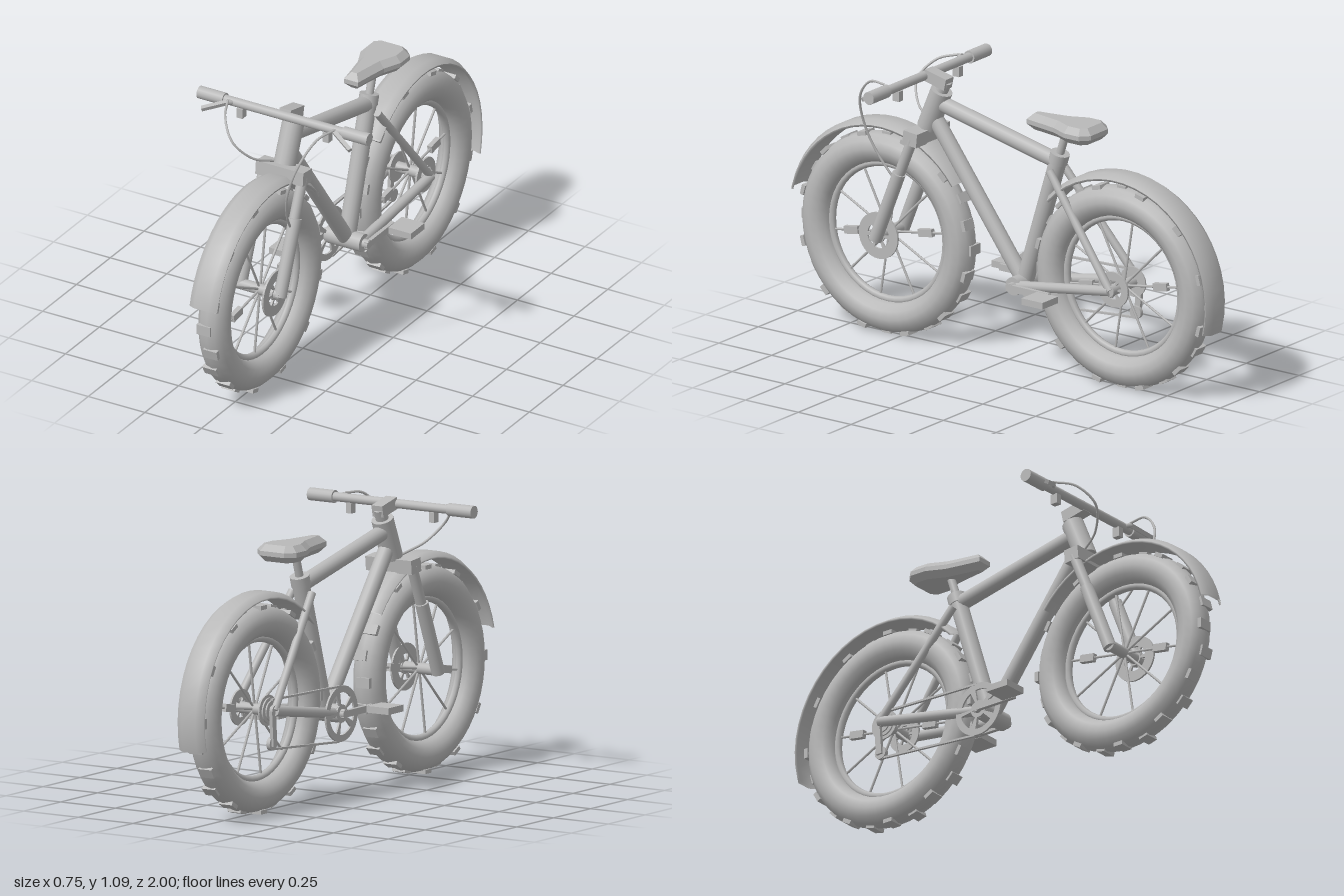
import * as THREE from 'three';

const grey = new THREE.MeshStandardMaterial({ color: 0xb8b8b8 });
grey.name = 'plain grey';
const greySheet = new THREE.MeshStandardMaterial({ color: 0xb8b8b8, side: THREE.DoubleSide });
greySheet.name = 'plain grey sheet';

const V = (x, y, z) => new THREE.Vector3(x, y, z);
const UP = V(0, 1, 0);

function add(parent, name, geometry, material = grey) {
  const mesh = new THREE.Mesh(geometry, material);
  mesh.name = name;
  parent.add(mesh);
  return mesh;
}

// Round tube from a to b
function rod(parent, name, a, b, r, sides = 16) {
  const dir = b.clone().sub(a);
  const mesh = add(parent, name, new THREE.CylinderGeometry(r, r, dir.length(), sides));
  mesh.position.copy(a).lerp(b, 0.5);
  mesh.quaternion.setFromUnitVectors(UP, dir.normalize());
  return mesh;
}

// Rectangular bar from a to b, w wide and d deep
function bar(parent, name, a, b, w, d) {
  const dir = b.clone().sub(a);
  const mesh = add(parent, name, new THREE.BoxGeometry(w, dir.length(), d));
  mesh.position.copy(a).lerp(b, 0.5);
  mesh.quaternion.setFromUnitVectors(UP, dir.normalize());
  return mesh;
}

function box(parent, name, size, pos) {
  const mesh = add(parent, name, new THREE.BoxGeometry(...size));
  mesh.position.set(...pos);
  return mesh;
}

// Flat wheel in the yz plane with a ring of sector-shaped openings
function spokedDisc(parent, name, x, y, z, outer, inner, hub, arms) {
  const shape = new THREE.Shape().absarc(0, 0, outer, 0, Math.PI * 2);
  for (let i = 0; i < arms; i++) {
    const a = (i / arms) * Math.PI * 2 + 0.15, b = ((i + 1) / arms) * Math.PI * 2 - 0.15;
    const hole = new THREE.Path();
    hole.absarc(0, 0, inner, a, b, false);
    hole.absarc(0, 0, hub, b, a, true);
    hole.closePath();
    shape.holes.push(hole);
  }
  const g = new THREE.ExtrudeGeometry(shape, { depth: 0.008, bevelEnabled: false, curveSegments: 16 });
  g.translate(0, 0, -0.004).rotateY(Math.PI / 2);
  add(parent, name, g).position.set(x, y, z);
}

// Angles run from +z (front) up over the wheel
function wheel(parent, name, z, rotorRadius) {
  const w = new THREE.Group();
  w.name = name;
  w.position.set(0, 0.405, z);
  parent.add(w);
  add(w, 'tyre', new THREE.TorusGeometry(0.335, 0.062, 12, 48).rotateY(Math.PI / 2));
  add(w, 'rim', new THREE.TorusGeometry(0.27, 0.015, 8, 48).rotateY(Math.PI / 2));
  rod(w, 'hub', V(-0.095, 0, 0), V(0.095, 0, 0), 0.022);
  for (let i = 0; i < 24; i++) {
    const a = (i / 24) * Math.PI * 2;
    const knob = box(w, 'treadKnob', [0.06, 0.04, 0.016],
      [i % 2 ? 0.012 : -0.012, Math.sin(a) * 0.393, Math.cos(a) * 0.393]);
    knob.rotation.x = -a;
  }
  for (let i = 0; i < 10; i++) {
    const a = (-9 + 36 * i) * Math.PI / 180;
    const dir = V(0, Math.sin(a), Math.cos(a));
    rod(w, 'spoke', dir.clone().multiplyScalar(0.01), dir.clone().multiplyScalar(0.265), 0.005, 6);
    if (i % 5 === 0) {
      bar(w, 'reflector', dir.clone().multiplyScalar(0.145), dir.clone().multiplyScalar(0.21), 0.02, 0.03);
    }
  }
  spokedDisc(w, 'brakeRotor', 0.066, 0, 0, rotorRadius, rotorRadius * 0.55, rotorRadius * 0.3, 6);
}

// Arched mudguard swept around the wheel centre between two angles
function fender(parent, name, z, from, to) {
  const profile = [[0.432, -0.061], [0.45, -0.032], [0.45, 0.032], [0.432, 0.061],
    [0.424, 0.058], [0.441, 0.03], [0.441, -0.03], [0.424, -0.058], [0.432, -0.061]];
  const g = new THREE.LatheGeometry(profile.map(p => new THREE.Vector2(...p)), 20,
    from * Math.PI / 180, (to - from) * Math.PI / 180);
  g.rotateZ(Math.PI / 2);
  add(parent, name, g, greySheet).position.set(0, 0.405, z);
}

function cable(parent, name, points) {
  const curve = new THREE.CatmullRomCurve3(points.map(p => V(...p)));
  add(parent, name, new THREE.TubeGeometry(curve, 32, 0.005, 6));
}

export function createModel() {
  const bike = new THREE.Group();
  bike.name = 'bicycle';
  const FZ = 0.567, RZ = -0.545, AY = 0.405;

  wheel(bike, 'frontWheel', FZ, 0.092);
  wheel(bike, 'rearWheel', RZ, 0.07);
  fender(bike, 'frontFender', FZ, 14, 143);
  fender(bike, 'rearFender', RZ, 42, 194);

  // Frame
  const bb = V(0, 0.328, -0.075);
  rod(bike, 'headTube', V(0, 0.86, 0.383), V(0, 1.015, 0.318), 0.043);
  rod(bike, 'topTube', V(0, 0.965, 0.33), V(0, 0.838, -0.235), 0.031);
  rod(bike, 'downTube', V(0, 0.9, 0.35), bb, 0.031);
  rod(bike, 'seatTube', V(0, 0.865, -0.24), bb, 0.034);
  rod(bike, 'seatCollar', V(0, 0.875, -0.243), V(0, 0.835, -0.231), 0.038);
  rod(bike, 'bottomBracket', V(-0.075, bb.y, bb.z), V(0.075, bb.y, bb.z), 0.036);
  for (const s of [-1, 1]) {
    rod(bike, 'seatStay', V(s * 0.045, 0.81, -0.225), V(s * 0.09, AY, RZ), 0.016, 12);
    rod(bike, 'chainStay', V(s * 0.06, bb.y, bb.z), V(s * 0.09, AY, RZ), 0.02, 12);
  }

  // Fork
  const crown = box(bike, 'forkCrown', [0.21, 0.055, 0.065], [0, 0.832, 0.392]);
  crown.rotation.x = -0.1;
  for (const s of [-1, 1]) {
    rod(bike, 'forkUpperLeg', V(s * 0.085, 0.83, 0.392), V(s * 0.085, 0.66, 0.462), 0.021);
    rod(bike, 'forkLowerLeg', V(s * 0.088, 0.68, 0.454), V(s * 0.088, 0.395, FZ), 0.026);
  }

  // Saddle: pear-shaped outline with a chamfer above and below
  rod(bike, 'seatPost', V(0, 0.84, -0.232), V(0, 0.965, -0.272), 0.016);
  const half = [[0.012, 0.13], [0.022, 0.19], [0.035, 0.26], [0.066, 0.33], [0.066, 0.385], [0.045, 0.405]];
  const outline = [...half, ...half.slice().reverse().map(([x, z]) => [-x, z])];
  const seat = new THREE.ExtrudeGeometry(new THREE.Shape(outline.map(p => new THREE.Vector2(...p))),
    { depth: 0.018, bevelSize: 0.023, bevelThickness: 0.024, bevelSegments: 1 });
  add(bike, 'saddle', seat.rotateX(-Math.PI / 2)).position.y = 0.973;

  // Handlebar and controls
  rod(bike, 'steerer', V(0, 1.0, 0.324), V(0, 1.055, 0.3), 0.025);
  bar(bike, 'stem', V(0, 1.047, 0.285), V(0, 1.07, 0.385), 0.05, 0.046);
  rod(bike, 'handlebar', V(-0.37, 1.066, 0.385), V(0.37, 1.066, 0.385), 0.018);
  for (const s of [-1, 1]) {
    rod(bike, 'grip', V(s * 0.262, 1.066, 0.385), V(s * 0.375, 1.066, 0.385), 0.025);
    rod(bike, 'leverClamp', V(s * 0.215, 1.066, 0.385), V(s * 0.24, 1.072, 0.415), 0.01, 8);
    bar(bike, 'brakeLever', V(s * 0.235, 1.072, 0.41), V(s * 0.328, 1.037, 0.45), 0.016, 0.016);
    box(bike, 'shifter', [0.025, 0.04, 0.03], [s * 0.19, 1.03, 0.385]);
  }
  cable(bike, 'frontBrakeCable', [[0.235, 1.08, 0.41], [0.21, 1.07, 0.5], [0.175, 0.985, 0.575],
    [0.13, 0.85, 0.582], [0.1, 0.73, 0.535], [0.083, 0.65, 0.48]]);
  cable(bike, 'rearBrakeCable', [[-0.235, 1.08, 0.41], [-0.2, 1.055, 0.49], [-0.14, 0.985, 0.538],
    [-0.08, 0.91, 0.49], [-0.035, 0.87, 0.4]]);

  // Cranks and pedals
  for (const [s, z] of [[-1, 0.11], [1, -0.26]]) {
    rod(bike, 'crankAxle', V(0, bb.y, bb.z), V(s * 0.1, bb.y, bb.z), 0.018);
    bar(bike, 'crankArm', V(s * 0.093, bb.y, bb.z - Math.sign(z) * 0.015), V(s * 0.093, bb.y, z), 0.016, 0.026);
    box(bike, 'pedal', [0.1, 0.026, 0.1], [s * 0.153, bb.y, z]);
  }

  // Drivetrain on the right side
  const cx = -0.078;
  spokedDisc(bike, 'chainring', cx, bb.y, bb.z, 0.108, 0.082, 0.035, 5);
  for (let i = 0; i < 3; i++) {
    rod(bike, 'sprocket', V(cx + i * 0.01 - 0.003, AY, RZ), V(cx + i * 0.01 + 0.003, AY, RZ), 0.04 + i * 0.01, 20);
  }
  bar(bike, 'upperChain', V(cx, bb.y + 0.106, bb.z - 0.01), V(cx, AY + 0.042, RZ), 0.01, 0.008);
  bar(bike, 'lowerChain', V(cx, bb.y - 0.106, bb.z - 0.02), V(cx, 0.257, RZ), 0.01, 0.008);
  bar(bike, 'derailleurCage', V(cx - 0.01, AY, RZ - 0.01), V(cx - 0.01, 0.27, RZ), 0.014, 0.026);
  rod(bike, 'derailleurPulley', V(cx - 0.008, 0.278, RZ), V(cx + 0.008, 0.278, RZ), 0.026);

  return bike;
}
